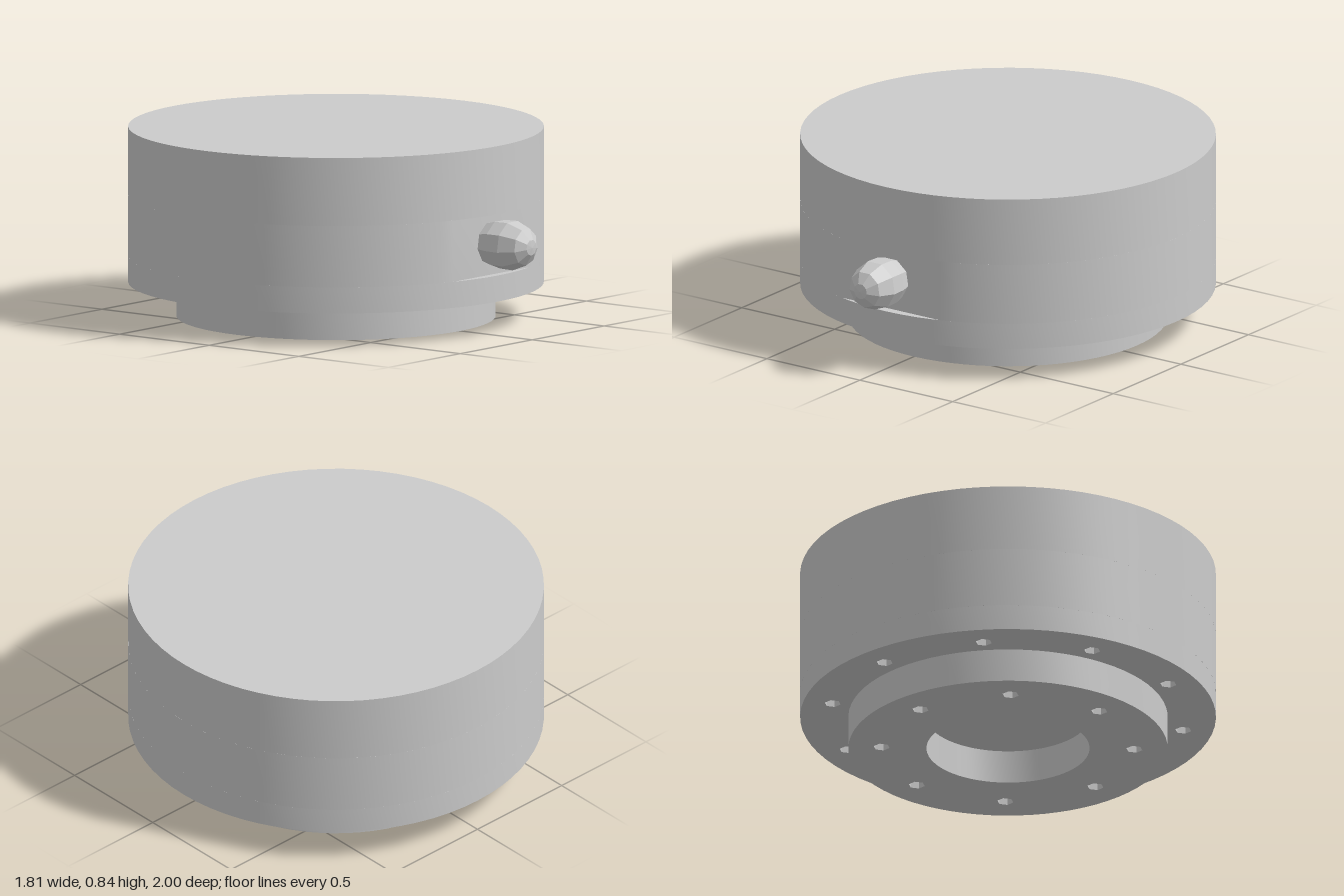
import * as THREE from 'three';
import { toCreasedNormals } from 'three/addons/utils/BufferGeometryUtils.js';

const CZ = -0.095;      // drum axis
const R = 0.905;        // drum radius
const BASE_R = 0.695;   // foot ring radius
const POCKET = [0.265, 0.535];

const grey = new THREE.MeshStandardMaterial({ color: 0xcccccc });
const faceted = new THREE.MeshStandardMaterial({ color: 0xcccccc, flatShading: true });

function disc(radius) {
  return new THREE.Shape().absarc(0, 0, radius, 0, Math.PI * 2, false);
}

// Ring of small screw holes cut into a shape
function addHoles(shape, count, ringRadius, offset) {
  for (let i = 0; i < count; i++) {
    const a = offset + (i / count) * Math.PI * 2;
    const hole = new THREE.Path();
    for (let k = 0; k < 6; k++) {
      const b = (-k / 6) * Math.PI * 2;
      const x = ringRadius * Math.cos(a) + 0.036 * Math.cos(b);
      const y = ringRadius * Math.sin(a) + 0.036 * Math.sin(b);
      if (k === 0) hole.moveTo(x, y); else hole.lineTo(x, y);
    }
    hole.closePath();
    shape.holes.push(hole);
  }
}

// Horizontal slab: a plan shape raised from y0 to y1
function slab(name, shape, y0, y1) {
  let geo = new THREE.ExtrudeGeometry(shape, { depth: y1 - y0, bevelEnabled: false, curveSegments: 36 });
  geo.rotateX(-Math.PI / 2);
  geo = toCreasedNormals(geo, 0.5);
  const mesh = new THREE.Mesh(geo, grey);
  mesh.name = name;
  mesh.position.set(0, y0, CZ);
  return mesh;
}

export function createModel() {
  const group = new THREE.Group();
  group.name = 'drumWithKnob';

  // Foot ring with a round recess and eight screw holes
  const foot = disc(BASE_R);
  foot.holes.push(new THREE.Path().absarc(0, 0, 0.355, 0, Math.PI * 2, true));
  addHoles(foot, 8, 0.55, 0);
  group.add(slab('footRing', foot, 0, 0.15));

  // Lower drum band with ten screw holes in its underside
  const lower = disc(R);
  addHoles(lower, 10, 0.775, Math.PI / 10);
  group.add(slab('lowerDrum', lower, 0.15, POCKET[0]));

  // Middle band, cut flat at the front behind the knob
  const d = Math.asin(0.265 / R);
  const middle = new THREE.Shape();
  middle.absarc(0, 0, R, -Math.PI / 2 + d, Math.PI * 1.5 - d, false);
  middle.closePath();
  group.add(slab('pocketDrum', middle, POCKET[0], POCKET[1]));

  // Solid upper band
  group.add(slab('upperDrum', disc(R), POCKET[1], 0.835));

  // Faceted knob pointing forward from the flat
  const profile = [[0.095, 0], [0.108, 0.05], [0.11, 0.12], [0.082, 0.195], [0.035, 0.226], [0, 0.23]]
    .map(([r, h]) => new THREE.Vector2(r, h));
  const knob = new THREE.Mesh(new THREE.LatheGeometry(profile, 9), faceted);
  knob.name = 'knob';
  knob.rotation.x = Math.PI / 2;
  knob.position.set(0, 0.405, 0.77);
  group.add(knob);

  return group;
}
